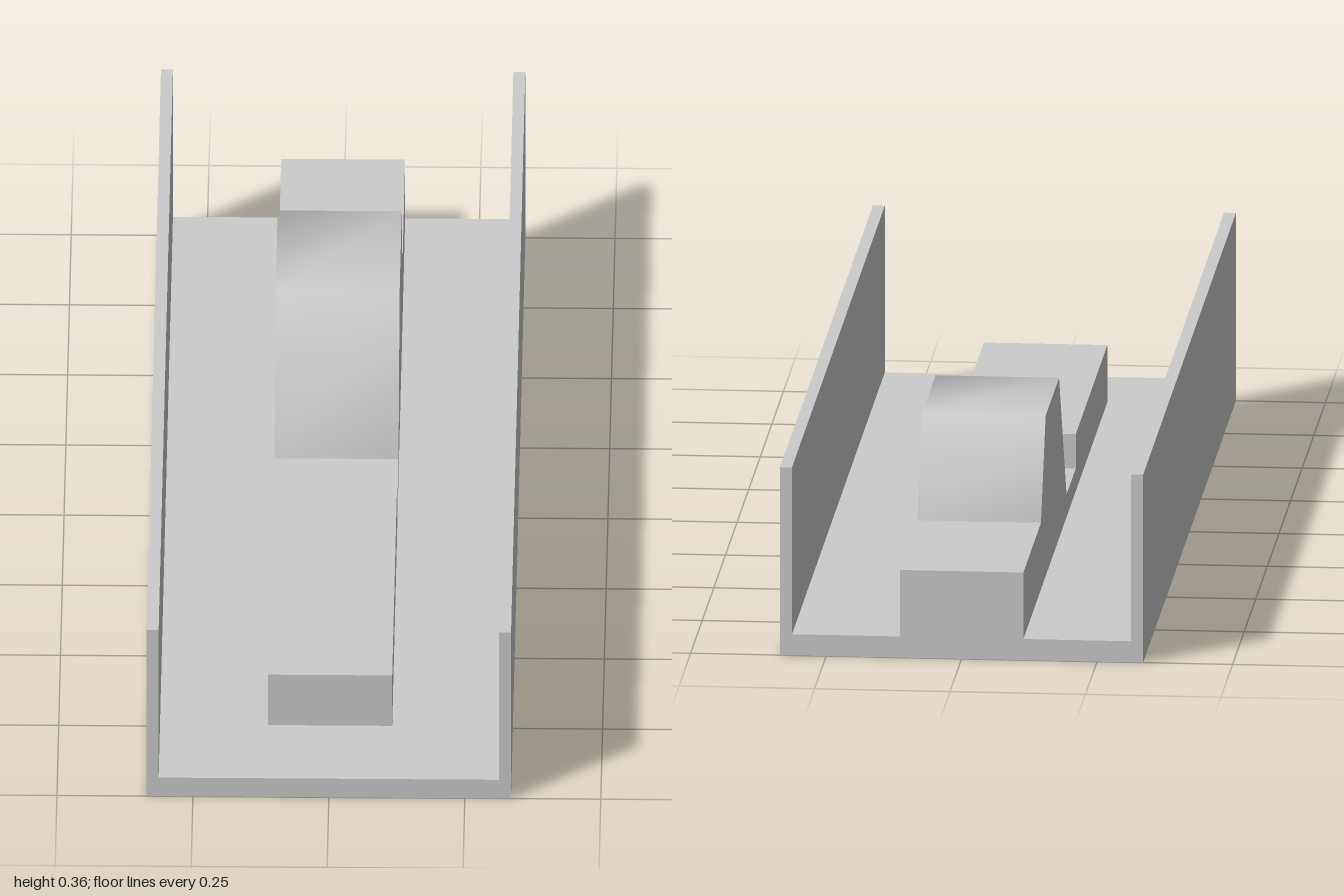
import * as THREE from 'three';
import { toCreasedNormals } from 'three/addons/utils/BufferGeometryUtils.js';

export function createModel() {
  const group = new THREE.Group();
  const material = new THREE.MeshStandardMaterial({ color: 0xcccccc });
  const floorTop = 0.04;
  const halfStrip = 0.114;

  const add = (name, geometry) => {
    const mesh = new THREE.Mesh(geometry, material);
    mesh.name = name;
    group.add(mesh);
    return mesh;
  };

  // Extrudes an x/y or z/y outline, centred along its depth
  const extrude = (points, depth) => {
    const shape = new THREE.Shape(points.map(([a, b]) => new THREE.Vector2(a, b)));
    return new THREE.ExtrudeGeometry(shape, { depth, bevelEnabled: false }).translate(0, 0, -depth / 2);
  };

  // U-shaped channel: floor and two side walls
  const outer = 0.335, inner = 0.313, wallTop = 0.356;
  add('channel', extrude([
    [-outer, 0], [outer, 0], [outer, wallTop], [inner, wallTop],
    [inner, floorTop], [-inner, floorTop], [-inner, wallTop], [-outer, wallTop],
  ], 2));

  // Flat blocks along the middle strip
  const block = (name, z0, z1, top) => {
    const geometry = new THREE.BoxGeometry(halfStrip * 2, top - floorTop, z1 - z0);
    add(name, geometry).position.set(0, (top + floorTop) / 2, (z0 + z1) / 2);
  };
  block('frontBlock', 0.13, 0.81, 0.148);
  block('lowSlab', -0.07, 0.13, 0.083);
  block('rearBlock', -1, -0.62, 0.166);

  // Hump with sloping ramps, shaded smoothly along its length
  const hump = extrude([
    [-0.62, floorTop], [-0.07, floorTop], [-0.07, 0.083],
    [-0.23, 0.344], [-0.52, 0.344], [-0.62, 0.166],
  ], halfStrip * 2).rotateY(-Math.PI / 2);
  add('hump', toCreasedNormals(hump, 1.2));

  return group;
}
